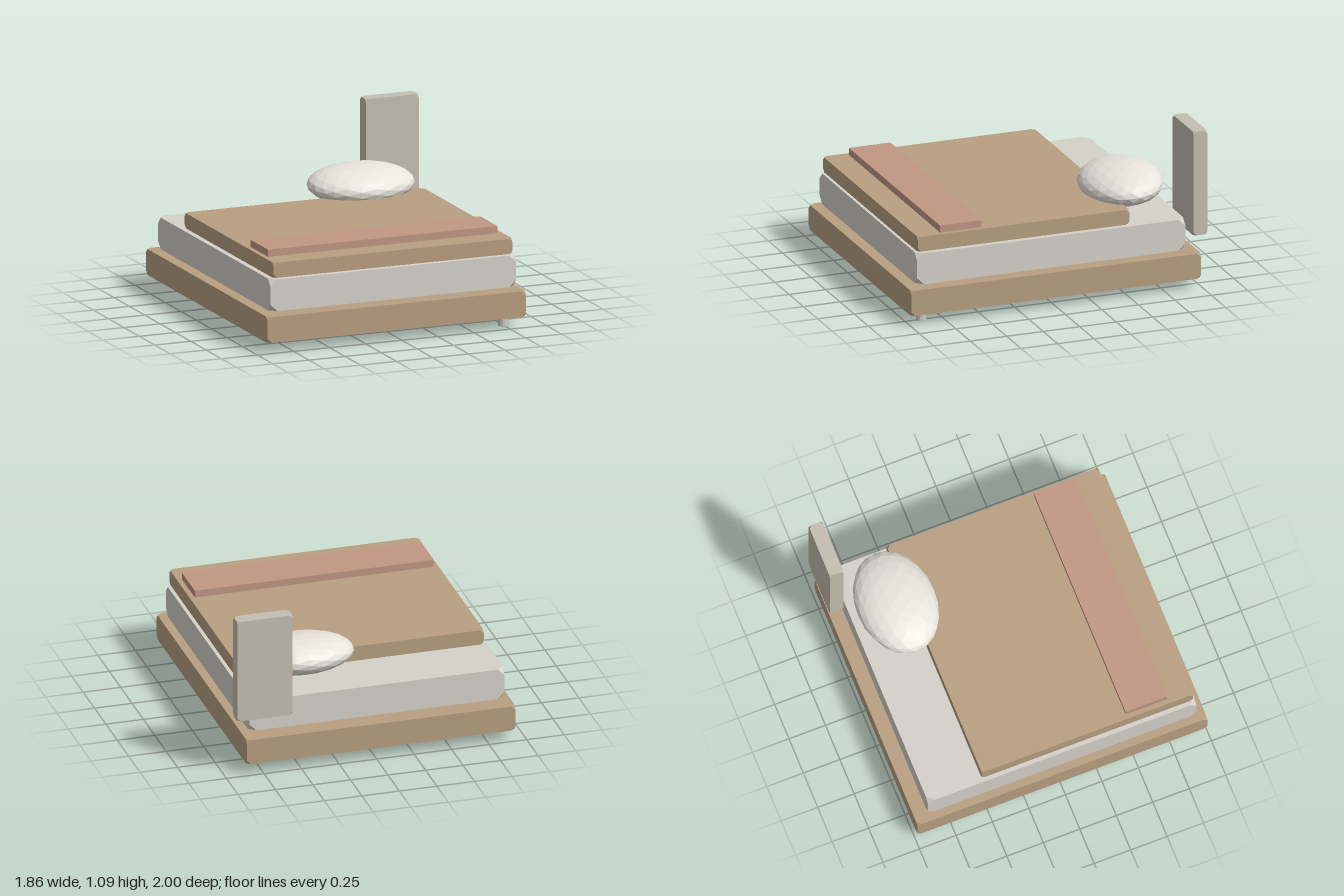
import * as THREE from 'three';
import { ConvexGeometry } from 'three/addons/geometries/ConvexGeometry.js';

const mat = (color) => new THREE.MeshStandardMaterial({ color, flatShading: true });

// Box given by its [min, max] ranges, with all eight corners cut off at distance c
function cutBox(name, [x0, x1], [y0, y1], [z0, z1], c, material) {
  const hx = (x1 - x0) / 2, hy = (y1 - y0) / 2, hz = (z1 - z0) / 2;
  const points = [];
  for (const sx of [-1, 1]) for (const sy of [-1, 1]) for (const sz of [-1, 1]) {
    points.push(
      new THREE.Vector3(sx * (hx - c), sy * hy, sz * hz),
      new THREE.Vector3(sx * hx, sy * (hy - c), sz * hz),
      new THREE.Vector3(sx * hx, sy * hy, sz * (hz - c)));
  }
  const mesh = new THREE.Mesh(new ConvexGeometry(points), material);
  mesh.name = name;
  mesh.position.set((x0 + x1) / 2, (y0 + y1) / 2, (z0 + z1) / 2);
  return mesh;
}

export function createModel() {
  const bed = new THREE.Group();
  bed.name = 'bed';
  const tan = mat(0xb89f80);

  // Stacked slabs: frame, mattress, blanket and the folded throw at the foot
  bed.add(
    cutBox('frame', [-0.93, 0.86], [0.07, 0.24], [-0.985, 1], 0.027, tan),
    cutBox('mattress', [-0.885, 0.815], [0.26, 0.468], [-0.895, 0.943], 0.046, mat(0xd5d1c9)),
    cutBox('blanket', [-0.86, 0.795], [0.475, 0.575], [-0.518, 0.93], 0.022, tan),
    cutBox('throw', [-0.828, 0.762], [0.573, 0.622], [0.48, 0.765], 0.009, mat(0xc09782)),
    cutBox('headboard', [0.56, 0.927], [0.39, 1.09], [-1, -0.907], 0.02, mat(0xc5beb1)));

  // Faceted pillow, tipped slightly up towards the headboard
  const pillow = new THREE.Mesh(new THREE.IcosahedronGeometry(1, 3), mat(0xe8e4dc));
  pillow.name = 'pillow';
  pillow.scale.set(0.358, 0.121, 0.262);
  pillow.rotation.x = 0.09;
  pillow.position.set(0.398, 0.628, -0.61);
  bed.add(pillow);

  // Single short leg under the front left corner
  const leg = new THREE.Mesh(new THREE.CylinderGeometry(0.033, 0.033, 0.08, 12), mat(0xcccccc));
  leg.name = 'leg';
  leg.position.set(0.748, 0.04, 0.89);
  bed.add(leg);

  return bed;
}
